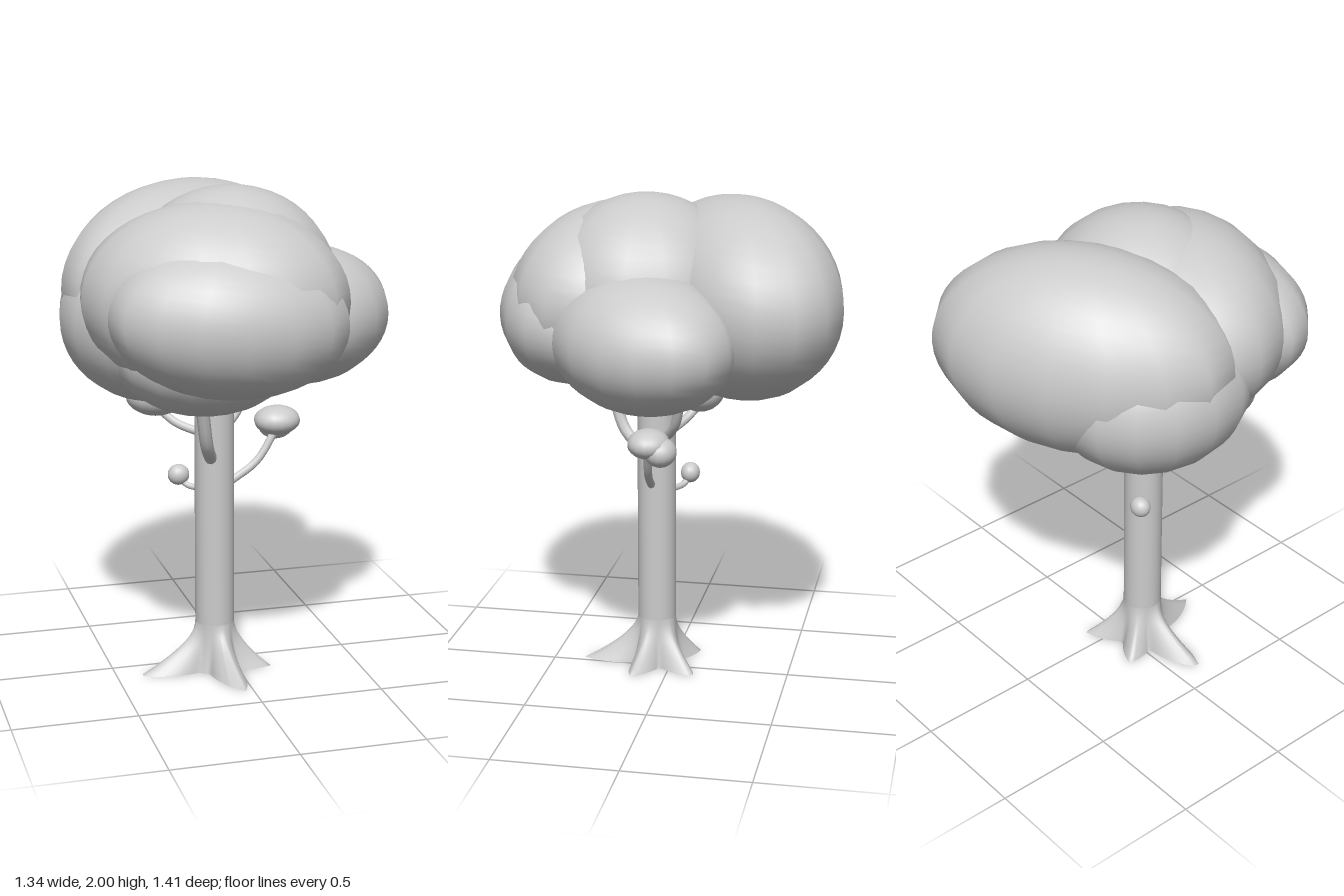
import * as THREE from 'three';

const CX = -0.08, CZ = 0.07, R = 0.08; // trunk axis and radius

export function createModel() {
  const tree = new THREE.Group();
  tree.name = 'tree';
  const grey = new THREE.MeshStandardMaterial({ color: 0xcccccc, side: THREE.DoubleSide });
  grey.name = 'plain grey';

  const add = (name, geometry) => {
    const mesh = new THREE.Mesh(geometry, grey);
    mesh.name = name;
    tree.add(mesh);
    return mesh;
  };
  const blob = (name, pos, radii, ry = 0, rz = 0) => {
    const mesh = add(name, new THREE.SphereGeometry(1, 16, 24));
    mesh.position.set(...pos);
    mesh.scale.set(...radii);
    mesh.rotation.set(0, ry, rz);
  };
  const branch = (name, radius, ...points) => {
    const curve = new THREE.CatmullRomCurve3(points.map((p) => new THREE.Vector3(...p)));
    add(name, new THREE.TubeGeometry(curve, 12, radius, 8));
  };

  // Trunk
  const trunk = add('trunk', new THREE.CylinderGeometry(R, R, 1.12, 24));
  trunk.position.set(CX, 0.74, CZ);

  // Root flare: trunk rings pulled outwards along five roots, [angle, reach]
  const roots = [[81, 0.31], [18, 0.235], [-48, 0.25], [-125, 0.21], [173, 0.335]];
  const flare = new THREE.CylinderGeometry(R, R, 0.2, 80, 10, true);
  flare.translate(0, 0.1, 0);
  const p = flare.attributes.position;
  for (let i = 0; i < p.count; i++) {
    const angle = Math.atan2(p.getZ(i), p.getX(i));
    const spread = Math.max(0, 1 - p.getY(i) / 0.2) ** 1.7;
    let push = 0.03;
    for (const [deg, reach] of roots) {
      const d = angle - THREE.MathUtils.degToRad(deg);
      const off = Math.abs(Math.atan2(Math.sin(d), Math.cos(d)));
      const weight = Math.max(0, 1 - off / 0.6) ** 1.3;
      push = Math.max(push, 0.03 + weight * (reach - R - 0.03));
    }
    const r = R + spread * push;
    p.setXYZ(i, Math.cos(angle) * r, Math.max(0, p.getY(i)), Math.sin(angle) * r);
  }
  flare.computeVertexNormals();
  add('roots', flare).position.set(CX, 0, CZ);

  // Crown lobes
  blob('backLobe', [-0.1, 1.58, -0.26], [0.605, 0.405, 0.385], 0.52);
  blob('topLobe', [-0.02, 1.6, 0.1], [0.43, 0.4, 0.41]);
  blob('upperFrontLobe', [-0.12, 1.575, 0.22], [0.53, 0.38, 0.4], -0.4);
  blob('frontLobe', [-0.1, 1.52, 0.39], [0.475, 0.3, 0.315], 0, -0.09);
  blob('rightLobe', [0.29, 1.465, 0.05], [0.425, 0.277, 0.335], Math.PI / 4);
  blob('leftLobe', [-0.3, 1.46, -0.09], [0.37, 0.34, 0.42]);
  blob('lowerLobe', [-0.14, 1.36, 0.18], [0.37, 0.25, 0.31]);

  // Branches
  branch('rightTwig', 0.017, [-0.02, 0.79, 0.08], [0.1, 0.87, 0.07], [0.2, 1.02, 0.05]);
  branch('leftTwig', 0.013, [-0.1, 0.75, 0.02], [-0.17, 0.76, -0.03], [-0.2, 0.8, -0.05]);
  branch('frontBranch', 0.026, [-0.11, 0.91, 0.13], [-0.15, 0.99, 0.22], [-0.19, 1.2, 0.29]);
  branch('rightBranch', 0.02, [-0.05, 0.98, 0.04], [0.05, 1.07, -0.03], [0.12, 1.24, -0.07]);
  branch('leftBranch', 0.018, [-0.12, 0.99, 0.03], [-0.22, 1.03, -0.03], [-0.3, 1.11, -0.1]);

  // Small leaf tufts at the twig ends
  blob('rightTuft', [0.19, 1.03, 0.05], [0.095, 0.06, 0.085]);
  blob('rightBackTuft', [0.2, 1.0, 0], [0.075, 0.06, 0.065]);
  blob('leftTuft', [-0.2, 0.8, -0.05], [0.045, 0.043, 0.04]);
  blob('upperLeftTuft', [-0.28, 1.14, -0.08], [0.13, 0.09, 0.1]);

  return tree;
}
